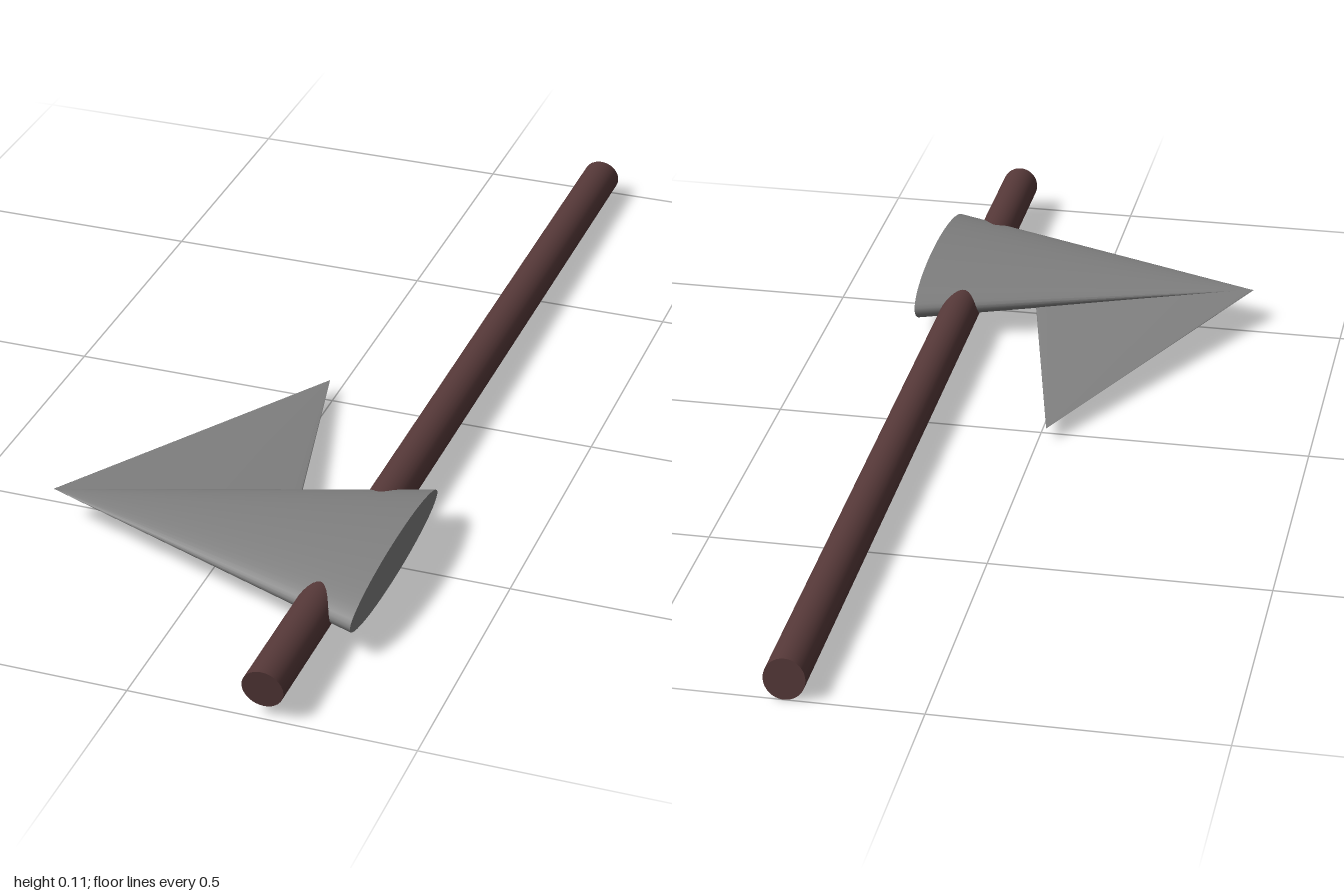
import * as THREE from 'three';

// Places a unit solid (radius 1, height 1) on three axes: side u, length a, side v
function place(geometry, name, color, base, end, u, v) {
  const b = new THREE.Vector3(...base);
  const e = new THREE.Vector3(...end);
  const matrix = new THREE.Matrix4()
    .makeBasis(new THREE.Vector3(...u), e.clone().sub(b), new THREE.Vector3(...v))
    .setPosition(b.add(e).multiplyScalar(0.5));
  geometry.applyMatrix4(matrix);
  const material = new THREE.MeshStandardMaterial({ color });
  const mesh = new THREE.Mesh(geometry, material);
  mesh.name = name;
  return mesh;
}

export function createModel() {
  const group = new THREE.Group();
  group.name = 'axe';
  const steel = 0x808080;

  // Long round handle, slightly raised at the front
  group.add(place(new THREE.CylinderGeometry(1, 1, 1, 32), 'handle', 0x553838,
    [0.235, 0.039, -0.995], [0.235, 0.057, 0.995], [0.036, 0, 0], [0, -0.036, -0.005]));

  // Flattened cone that forms the head, pointing to the right
  group.add(place(new THREE.ConeGeometry(1, 1, 48), 'head', steel,
    [0.314, 0.062, 0.565], [-0.32, 0.066, 0.555], [0.006, 0.05, 0], [-0.002, 0, 0.225]));

  // Very thin cone that forms the blade, sweeping back from the tip of the head
  group.add(place(new THREE.ConeGeometry(1, 1, 48), 'blade', steel,
    [-0.092, 0.064, 0.585], [-0.015, 0.028, -0.03], [0, 0.004, 0], [-0.228, 0.002, -0.03]));

  return group;
}
